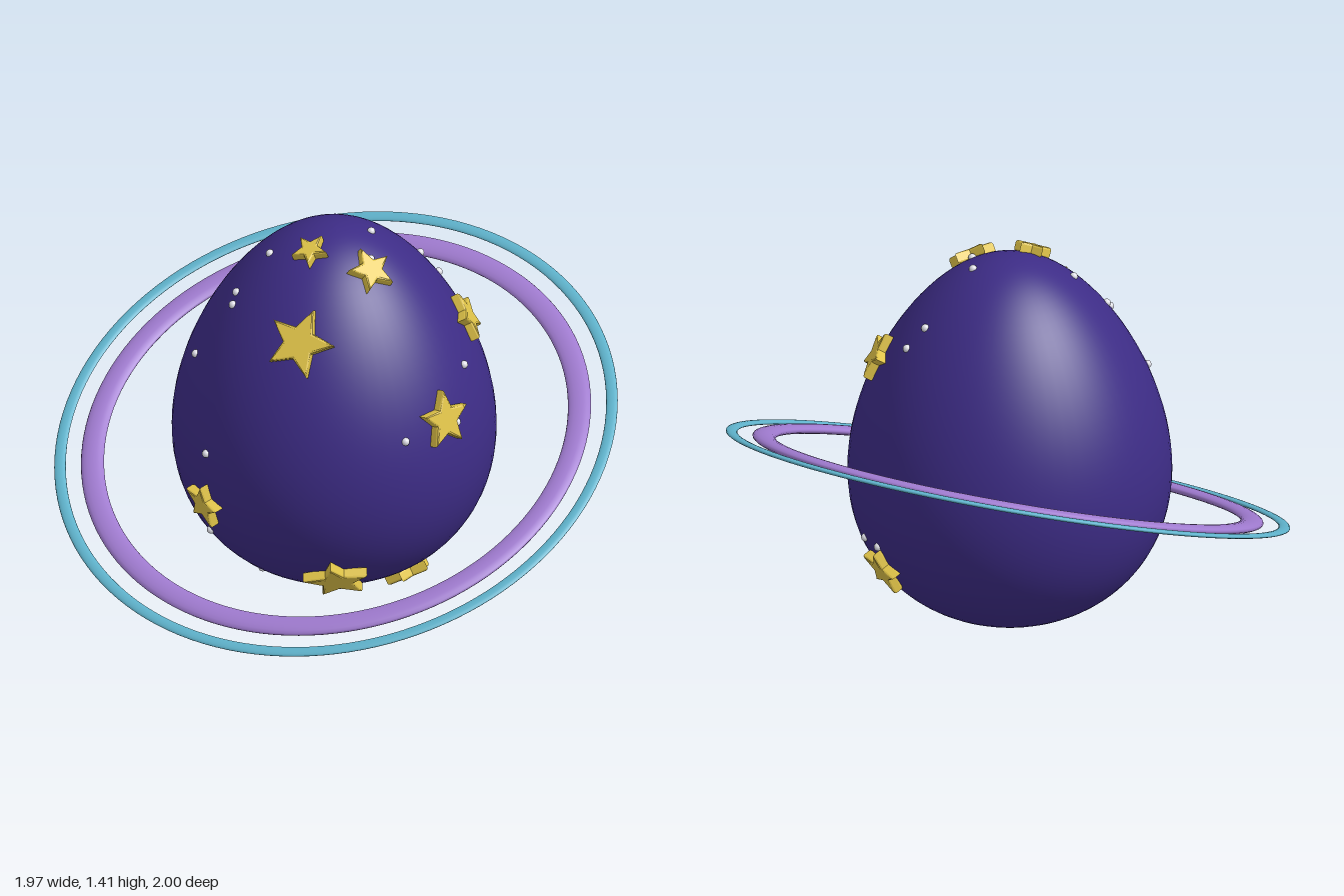
import * as THREE from 'three';

const mat = (name, color) => new THREE.MeshStandardMaterial({ name, color });

const HALF = 0.695;      // half the egg's height
const EGG_X = -0.007;    // egg axis

// Egg radius at angle a, measured from the bottom pole
const eggPoint = (a) => {
  const t = -Math.cos(a);
  return new THREE.Vector2(0.57 * Math.sin(a) * (1 - 0.2 * t), HALF * (1 + t));
};

// Surface position and outward normal at height y, towards (x, z)
function onEgg(x, y, z) {
  const a = Math.acos(THREE.MathUtils.clamp(1 - y / HALF, -1, 1));
  const p = eggPoint(a);
  const d = eggPoint(a + 0.01).sub(eggPoint(a - 0.01));
  const az = Math.atan2(x - EGG_X, z);
  const s = Math.sin(az), c = Math.cos(az);
  return {
    position: new THREE.Vector3(EGG_X + p.x * s, p.y, p.x * c),
    normal: new THREE.Vector3(d.y * s, -d.x, d.y * c).normalize(),
  };
}

// Five-pointed bevelled star centred on its own depth
function starGeometry(radius) {
  const shape = new THREE.Shape();
  const bevel = 0.008;
  for (let i = 0; i < 10; i++) {
    const r = (i % 2 ? 0.47 : 1) * radius - bevel;
    const a = Math.PI / 2 + (i * Math.PI) / 5;
    shape[i ? 'lineTo' : 'moveTo'](r * Math.cos(a), r * Math.sin(a));
  }
  shape.closePath();
  const geo = new THREE.ExtrudeGeometry(shape, {
    depth: 0.024, bevelThickness: bevel, bevelSize: bevel, bevelSegments: 2,
  });
  return geo.translate(0, 0, -0.012);
}

export function createModel() {
  const model = new THREE.Group();
  const indigo = mat('indigo shell', 0x3d2c86);
  const violet = mat('violet ring', 0xa07bd0);
  const teal = mat('teal ring', 0x5fb3cc);
  const gold = mat('gold star', 0xdfc348);
  const white = mat('white speck', 0xe8e8f0);

  // Egg
  const profile = [];
  for (let i = 0; i <= 48; i++) profile.push(eggPoint((i / 48) * Math.PI));
  profile[0].x = profile[48].x = 0;
  const egg = new THREE.Mesh(new THREE.LatheGeometry(profile, 64), indigo);
  egg.name = 'egg';
  egg.position.x = EGG_X;
  model.add(egg);

  // Tilted pair of flattened rings
  const rings = new THREE.Group();
  rings.name = 'rings';
  rings.position.y = 0.52;
  rings.quaternion.setFromUnitVectors(
    new THREE.Vector3(0, 1, 0), new THREE.Vector3(-0.28, 0.933, 0.225).normalize());
  for (const [name, radius, tube, material] of [
    ['innerRing', 0.885, 0.042, violet],
    ['outerRing', 1.003, 0.021, teal],
  ]) {
    const geo = new THREE.TorusGeometry(radius, tube, 16, 128).rotateX(Math.PI / 2).scale(1, 0.4, 1);
    const ring = new THREE.Mesh(geo, material);
    ring.name = name;
    rings.add(ring);
  }
  model.add(rings);

  // Stars lying on the shell: x, y, z, radius, roll in degrees
  const stars = new THREE.Group();
  stars.name = 'stars';
  for (const [x, y, z, radius, roll] of [
    [-0.27, 1.13, 0.33, 0.125, -14],
    [0.06, 1.31, 0.26, 0.085, 0],
    [-0.15, 1.355, 0.10, 0.065, -10],
    [0.45, 1.01, 0.17, 0.09, -6],
    [0.23, 0.82, 0.52, 0.105, -8],
    [-0.57, 0.45, 0.17, 0.085, -8],
    [-0.17, 0.22, 0.46, 0.12, 12],
    [0.16, 0.10, 0.31, 0.085, -8],
    [0.51, 0.30, -0.09, 0.092, -10],
  ]) {
    const { position, normal } = onEgg(x, y, z);
    const side = new THREE.Vector3(0, 1, 0).cross(normal).normalize();
    const up = normal.clone().cross(side);
    const star = new THREE.Mesh(starGeometry(radius), gold);
    star.name = 'star';
    star.quaternion.setFromRotationMatrix(new THREE.Matrix4().makeBasis(side, up, normal));
    star.rotateZ(THREE.MathUtils.degToRad(roll));
    star.position.copy(position).addScaledVector(normal, 0.012);
    stars.add(star);
  }
  model.add(stars);

  // Small round specks
  const specks = new THREE.Group();
  specks.name = 'specks';
  const speckGeo = new THREE.SphereGeometry(0.015, 12, 8);
  for (const [x, y, z] of [
    [0.06, 0.79, 0.55], [0.29, 0.78, 0.48], [0.37, 0.93, 0.35],
    [0.345, 1.19, -0.035], [0.40, 1.11, -0.01], [0.14, 1.36, 0.03],
    [0.075, 1.335, 0.175], [-0.51, 0.92, -0.085], [-0.365, 1.17, -0.045],
    [-0.39, 1.14, -0.015], [-0.245, 1.30, -0.055], [-0.545, 0.655, 0.16],
    [-0.50, 0.285, 0.09], [-0.11, 0.10, 0.33], [-0.31, 0.09, 0.10],
    [0.28, 0.085, 0.06], [0.55, 0.385, 0.01], [0.55, 0.39, -0.095],
  ]) {
    const speck = new THREE.Mesh(speckGeo, white);
    speck.name = 'speck';
    speck.position.copy(onEgg(x, y, z).position);
    specks.add(speck);
  }
  model.add(specks);

  return model;
}
